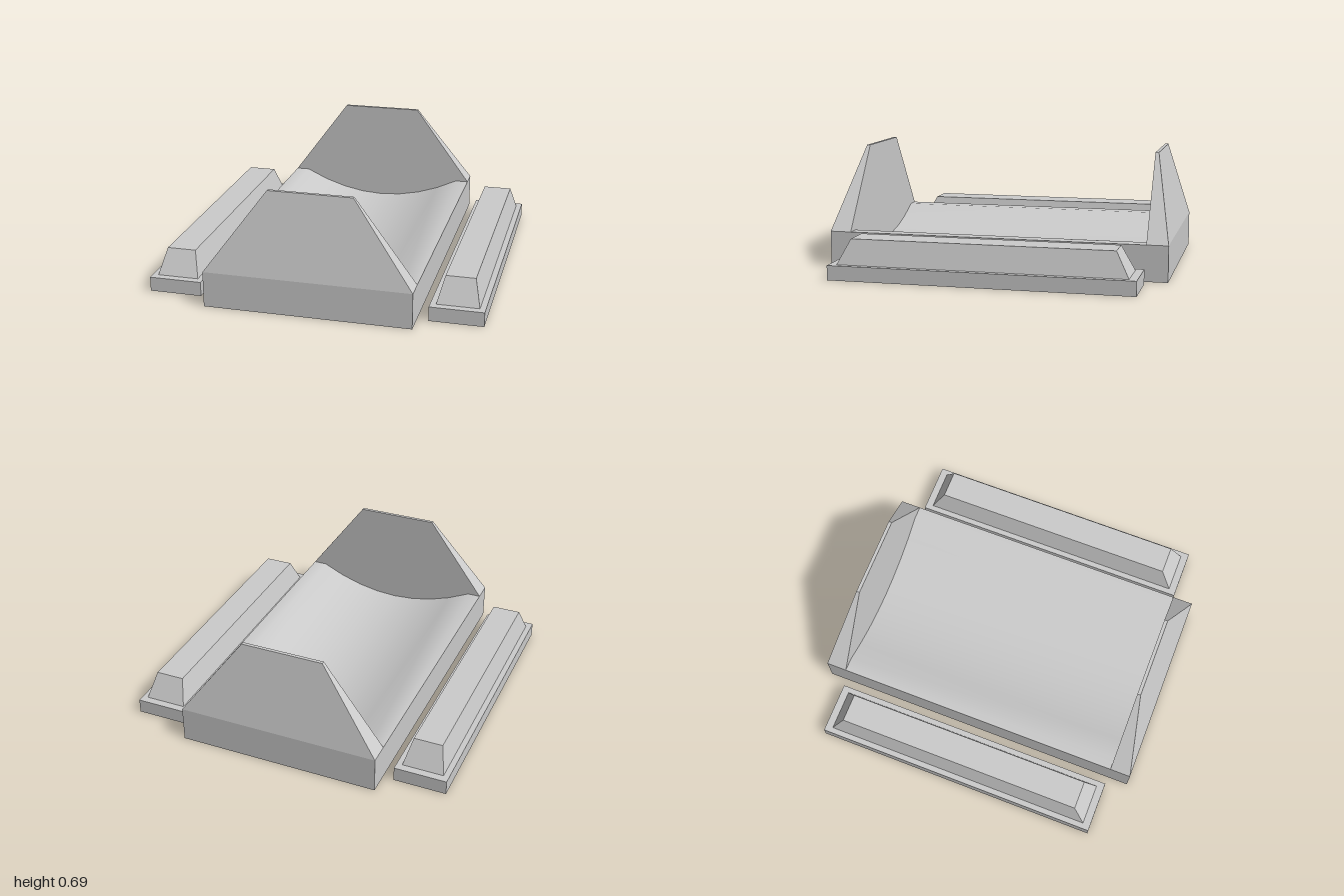
import * as THREE from 'three';
import { toCreasedNormals } from 'three/addons/utils/BufferGeometryUtils.js';

const material = new THREE.MeshStandardMaterial({ color: 0xcccccc });

// Block from y0 to y1 whose bottom and top are rectangles [x0, x1, z0, z1]
function taperedBlock(name, y0, y1, bottom, top = bottom) {
  const geometry = new THREE.BoxGeometry(1, 1, 1);
  const p = geometry.attributes.position;
  for (let i = 0; i < p.count; i++) {
    const high = p.getY(i) > 0;
    const r = high ? top : bottom;
    p.setXYZ(i, r[p.getX(i) > 0 ? 1 : 0], high ? y1 : y0, r[p.getZ(i) > 0 ? 3 : 2]);
  }
  geometry.computeVertexNormals();
  const mesh = new THREE.Mesh(geometry, material);
  mesh.name = name;
  return mesh;
}

// Bed with narrow flat lips and a shallow, smooth trough along z
function troughBed() {
  const halfWidth = 0.6, height = 0.21, troughHalf = 0.52, depth = 0.137, length = 1.75, steps = 8;
  const shape = new THREE.Shape();
  shape.moveTo(-halfWidth, 0);
  shape.lineTo(halfWidth, 0);
  shape.lineTo(halfWidth, height);
  for (let i = 0; i <= steps; i++) {
    const t = 1 - (2 * i) / steps;
    shape.lineTo(t * troughHalf, height - depth * (1 - t * t));
  }
  shape.lineTo(-halfWidth, height);
  shape.closePath();
  const geometry = new THREE.ExtrudeGeometry(shape, { depth: length, bevelEnabled: false });
  geometry.translate(0, 0, -length / 2);
  const mesh = new THREE.Mesh(toCreasedNormals(geometry, 0.6), material);
  mesh.name = 'troughBed';
  return mesh;
}

export function createModel() {
  const model = new THREE.Group();
  model.name = 'troughWithEndWalls';
  model.add(troughBed());

  // End walls: upright inside, sloping outside
  for (const [name, s] of [['front', 1], ['back', -1]]) {
    const span = (outer) => [0.875 * s, outer * s].sort((a, b) => a - b);
    const wall = new THREE.Group();
    wall.name = name + 'EndWall';
    const foot = [-0.6, 0.6, ...span(1)];
    wall.add(
      taperedBlock(name + 'WallBase', 0, 0.21, foot),
      taperedBlock(name + 'WallPanel', 0.21, 0.69, foot, [-0.245, 0.245, ...span(0.895)])
    );
    model.add(wall);
  }

  // Side rails: flat plinth with a bevelled bar on top
  for (const [name, s] of [['left', 1], ['right', -1]]) {
    const rail = new THREE.Group();
    rail.name = name + 'Rail';
    rail.add(
      taperedBlock(name + 'RailPlinth', 0, 0.085, [-0.155, 0.155, -0.875, 0.875]),
      taperedBlock(name + 'RailBar', 0.085, 0.23, [-0.122, 0.122, -0.83, 0.83], [-0.085, 0.085, -0.755, 0.755])
    );
    rail.position.x = 0.82 * s;
    model.add(rail);
  }
  return model;
}
